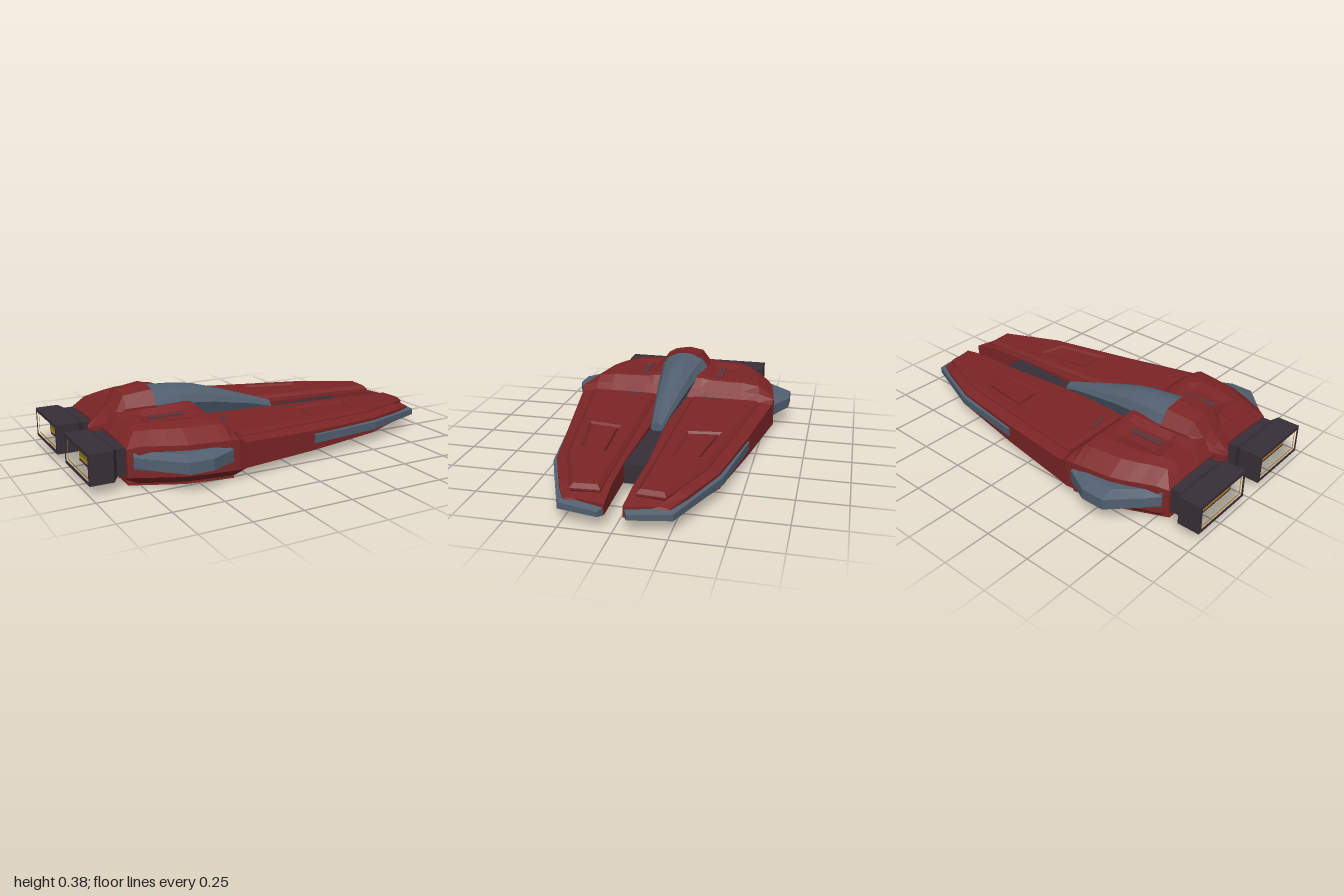
import * as THREE from 'three';

const paint = (name, color) => {
  const m = new THREE.MeshStandardMaterial({ color });
  m.name = name;
  return m;
};

// Turn a closed triangle soup outward and give it flat normals
function orient(geo) {
  const g = geo.index ? geo.toNonIndexed() : geo;
  const p = g.attributes.position;
  const a = new THREE.Vector3(), b = new THREE.Vector3(), c = new THREE.Vector3();
  let volume = 0;
  const centre = new THREE.Vector3();
  g.computeBoundingBox();
  g.boundingBox.getCenter(centre);
  for (let i = 0; i < p.count; i += 3) {
    a.fromBufferAttribute(p, i).sub(centre);
    b.fromBufferAttribute(p, i + 1).sub(centre);
    c.fromBufferAttribute(p, i + 2).sub(centre);
    volume += a.dot(b.cross(c));
  }
  if (volume < 0) {
    for (let i = 0; i < p.count; i += 3) {
      b.fromBufferAttribute(p, i + 1);
      c.fromBufferAttribute(p, i + 2);
      p.setXYZ(i + 1, c.x, c.y, c.z);
      p.setXYZ(i + 2, b.x, b.y, b.z);
    }
  }
  g.computeVertexNormals();
  return g;
}

// Skin a row of matching closed sections, each a ring of [x, y, z]
function loft(rings) {
  const v = [], n = rings[0].length;
  const tri = (...pts) => pts.forEach((q) => v.push(...q));
  for (let i = 0; i < rings.length - 1; i++) {
    for (let j = 0; j < n; j++) {
      const k = (j + 1) % n, A = rings[i], B = rings[i + 1];
      tri(A[j], A[k], B[k]);
      tri(A[j], B[k], B[j]);
    }
  }
  const first = rings[0], last = rings[rings.length - 1];
  for (let j = 1; j < n - 1; j++) {
    tri(first[0], first[j + 1], first[j]);
    tri(last[0], last[j], last[j + 1]);
  }
  const g = new THREE.BufferGeometry();
  g.setAttribute('position', new THREE.Float32BufferAttribute(v, 3));
  return orient(g);
}

// Plate drawn in plan as [x, z] points, its height following yAt(x)
function plate(outline, holes, depth, yAt, bevel = 0) {
  const vec = (pts) => pts.map(([x, z]) => new THREE.Vector2(x, z));
  const shape = new THREE.Shape(vec(outline));
  holes.forEach((h) => shape.holes.push(new THREE.Path(vec(h))));
  const g = new THREE.ExtrudeGeometry(shape, {
    depth, bevelEnabled: bevel > 0, bevelThickness: bevel, bevelSize: bevel,
    bevelOffset: -bevel, bevelSegments: 1,
  });
  const p = g.attributes.position;
  for (let i = 0; i < p.count; i++) {
    const x = p.getX(i), z = p.getY(i), d = p.getZ(i);
    p.setXYZ(i, x, yAt(x) + d, z);
  }
  return orient(g);
}

const box = (x0, x1, y0, y1, z0, z1) =>
  new THREE.BoxGeometry(x1 - x0, y1 - y0, z1 - z0)
    .translate((x0 + x1) / 2, (y0 + y1) / 2, (z0 + z1) / 2);

export function createModel() {
  const red = paint('hullRed', 0x7c2526);
  const grey = paint('slateGrey', 0x516070);
  const dark = paint('darkPlum', 0x382f38);
  const black = paint('undersideBlack', 0x222126);
  const gold = paint('engineGold', 0xc98a24);
  const olive = paint('engineOlive', 0x77762a);
  const vent = paint('ventMaroon', 0x5e3338);

  const ship = new THREE.Group();
  ship.name = 'spaceship';
  const add = (name, geo, mat) => {
    const m = new THREE.Mesh(geo, mat);
    m.name = name;
    ship.add(m);
  };
  const pair = (name, geo, mat) => {
    add(name + 'Left', geo, mat);
    add(name + 'Right', orient(geo.clone().scale(1, 1, -1)), mat);
  };

  // Forward hull prongs: x, inner z, outer z, bottom, side top, deck
  const prong = [
    [-0.32, 0.045, 0.553, 0.045, 0.18, 0.187],
    [0.15, 0.04, 0.475, 0.042, 0.15, 0.17],
    [0.57, 0.055, 0.4, 0.05, 0.135, 0.154],
    [0.82, 0.048, 0.3, 0.06, 0.125, 0.145],
    [0.93, 0.042, 0.245, 0.065, 0.112, 0.118],
  ].map(([x, zi, zo, yb, ys, yd], i) => {
    const xi = i === 4 ? x + 0.035 : x;
    return [[xi, 0.05 + i * 0.004, zi], [x, yb - 0.008, zi + 0.06], [x, yb - 0.004, zo - 0.05], [x, yb + 0.005, zo],
      [x, ys, zo], [x, yd, zo - 0.05], [xi, yd, zi]];
  });
  pair('forwardHull', loft(prong), red);

  // Raised deck panels with a sunken hatch
  const deck = (x) => 0.177 - 0.036 * x;
  const hatch = [[0.22, 0.33], [0.49, 0.285], [0.52, 0.175], [0.24, 0.19]];
  const panel = [[-0.27, 0.1], [0.89, 0.08], [0.9, 0.22], [0.57, 0.35], [-0.27, 0.48]];
  pair('deckPanel', plate(panel, [hatch], 0.01, (x) => deck(x) - 0.008, 0.018), red);
  pair('deckHatch', plate(hatch, [], 0.01, (x) => deck(x) + 0.003), red);

  // Rear hull: x, outer z, bottom, side top, hump height, depth of the roof channel
  const rear = [
    [-0.815, 0.405, 0.03, 0.185, 0.2, 0],
    [-0.76, 0.435, 0.012, 0.2, 0.272, 0],
    [-0.69, 0.465, 0.012, 0.2, 0.28, 0],
    [-0.64, 0.49, 0.012, 0.2, 0.282, 0.016],
    [-0.56, 0.52, 0.012, 0.2, 0.285, 0.016],
    [-0.45, 0.536, 0.012, 0.2, 0.285, 0.016],
    [-0.4, 0.544, 0.012, 0.2, 0.285, 0],
    [-0.36, 0.55, 0.012, 0.2, 0.28, 0],
    [-0.32, 0.555, 0.015, 0.2, 0.235, 0],
    [-0.275, 0.545, 0.045, 0.175, 0.19, 0],
  ].map(([x, zo, yb, ys, yt, dip]) => {
    const ye = ys + (yt - ys) * 0.68, yr = ys + (yt - ys) * 0.85;
    return [[0.06, 0.05], [0.1, yb], [zo - 0.04, yb], [zo, 0.05], [zo, ys], [zo - 0.085, ye],
      [0.34 * zo / 0.5, yr], [0.29, yr - dip], [0.18, yr + 0.004 - dip], [0.14, yt], [0.06, yt]]
      .map(([z, y]) => [x, y, z]);
  });
  pair('rearHull', loft(rear), red);

  // Framed dark recesses under the rear hull
  const foot = [[-0.8, 0.1], [-0.33, 0.1], [-0.33, 0.515], [-0.56, 0.48], [-0.8, 0.37]];
  const well = [[-0.75, 0.15], [-0.42, 0.15], [-0.38, 0.2], [-0.38, 0.45], [-0.55, 0.43], [-0.75, 0.34]];
  pair('footFrame', plate(foot, [well], 0.013, () => 0), red);
  pair('footRecess', plate(well, [], 0.004, () => 0.008), black);

  // Roof vents and deck slots
  pair('roofVent', box(-0.63, -0.45, 0.258, 0.264, 0.205, 0.24), vent);
  pair('deckSlot', plate([[-0.25, 0.27], [-0.235, 0.27], [-0.205, 0.17], [-0.23, 0.17]], [], 0.004,
    (x) => deck(x) + 0.019), vent);

  // Side blisters
  const blister = [
    [-0.79, 0.42, 0.425, 0.09, 0.17], [-0.73, 0.44, 0.5, 0.085, 0.172], [-0.605, 0.48, 0.625, 0.085, 0.175],
    [-0.485, 0.5, 0.625, 0.085, 0.175], [-0.39, 0.52, 0.575, 0.083, 0.175], [-0.35, 0.53, 0.555, 0.08, 0.175],
  ].map(([x, zi, zo, y0, y1]) => {
    const zm = Math.max(zi, zo - 0.07);
    return [[x, y0, zi], [x, y0, zm], [x, y0 + 0.015, zo], [x, y1 - 0.02, zo], [x, y1, zm], [x, y1, zi]];
  });
  pair('sideBlister', loft(blister), grey);

  // Grey bumper wrapping the outer edge and nose
  const bumper = [
    [0.15, 0.46, 0.15, 0.482, 0.08, 0.14], [0.57, 0.38, 0.57, 0.418, 0.072, 0.128],
    [0.92, 0.235, 0.953, 0.263, 0.062, 0.11], [0.955, 0.045, 0.992, 0.065, 0.062, 0.105],
  ].map(([xi, zi, xo, zo, y0, y1]) =>
    [[xi, y0, zi], [xo, y0 + 0.005, zo], [xo, y1 - 0.012, zo], [xi, y1, zi]]);
  pair('edgeBumper', loft(bumper), grey);

  // Central keel and dark trough between the prongs
  add('centralTrough', box(-0.8, 0.605, 0.052, 0.148, -0.062, 0.062), dark);

  // Cockpit housing with pointed tail: x, half width, bottom, shoulder, top
  const housing = [
    [-0.86, 0.006, 0.065, 0.185, 0.2], [-0.805, 0.075, 0.055, 0.215, 0.24], [-0.76, 0.1, 0.055, 0.25, 0.285],
    [-0.705, 0.125, 0.055, 0.29, 0.36], [-0.56, 0.145, 0.055, 0.295, 0.378],
  ].map(([x, w, y0, ys, yt]) =>
    [[w, y0], [w, ys], [w * 0.65, yt - 0.014], [0, yt], [-w * 0.65, yt - 0.014], [-w, ys], [-w, y0]]
      .map(([z, y]) => [x, y, z]));
  add('cockpitHousing', loft(housing), red);

  // Long tapering canopy: x, half width, shoulder, top
  const canopy = [
    [-0.57, 0.134, 0.29, 0.363], [-0.4, 0.113, 0.275, 0.355], [-0.3, 0.098, 0.265, 0.341],
    [-0.2, 0.084, 0.25, 0.313], [-0.08, 0.067, 0.225, 0.275], [0.04, 0.05, 0.2, 0.235], [0.16, 0.034, 0.165, 0.195],
  ].map(([x, w, ys, yt]) => {
    const half = [[w * 0.5, 0.14], [w, ys], [w * 0.78, ys + (yt - ys) * 0.55], [w * 0.36, yt - 0.006], [w * 0.1, yt]];
    const other = half.map(([z, y]) => [-z, y]).reverse();
    return [...half, ...other].map(([z, y]) => [x, y, z]);
  });
  add('canopy', loft(canopy), grey);

  // Engines: neck, flared block, hollow nozzle and glowing insert
  const rect = (x, y0, y1, z0, z1) => [[x, y0, z0], [x, y0, z1], [x, y1, z1], [x, y1, z0]];
  pair('engineNeck', loft([rect(-0.79, 0.06, 0.19, 0.08, 0.39), rect(-0.86, 0.06, 0.19, 0.08, 0.39),
    rect(-0.885, 0.05, 0.2, 0.066, 0.427), rect(-0.93, 0.05, 0.2, 0.066, 0.427)]), dark);
  const frame = (x0, x1, t0, t1) => {
    // Rectangular tube between insets t0 and t1
    const s = new THREE.Shape(rect(0, 0.05 + t0, 0.2 - t0, 0.066 + t0, 0.427 - t0)
      .map(([, y, z]) => new THREE.Vector2(-z, y)));
    s.holes.push(new THREE.Path(rect(0, 0.05 + t1, 0.2 - t1, 0.066 + t1, 0.427 - t1)
      .map(([, y, z]) => new THREE.Vector2(-z, y))));
    return orient(new THREE.ExtrudeGeometry(s, { depth: x1 - x0, bevelEnabled: false })
      .rotateY(Math.PI / 2).translate(x0, 0, 0));
  };
  pair('nozzleRim', frame(-1, -0.93, 0, 0.018), dark);
  pair('nozzleLining', frame(-0.992, -0.93, 0.018, 0.026), gold);
  pair('nozzleBack', box(-0.937, -0.929, 0.07, 0.18, 0.085, 0.41), gold);
  pair('nozzleGlow', box(-0.946, -0.936, 0.1, 0.155, 0.12, 0.375), olive);

  // Skids under the prongs
  pair('skid', loft([rect(-0.08, 0.028, 0.045, 0.245, 0.305), rect(-0.04, 0.016, 0.045, 0.245, 0.305),
    rect(0.36, 0.016, 0.05, 0.245, 0.305), rect(0.39, 0.024, 0.05, 0.245, 0.305)]), black);

  return ship;
}
